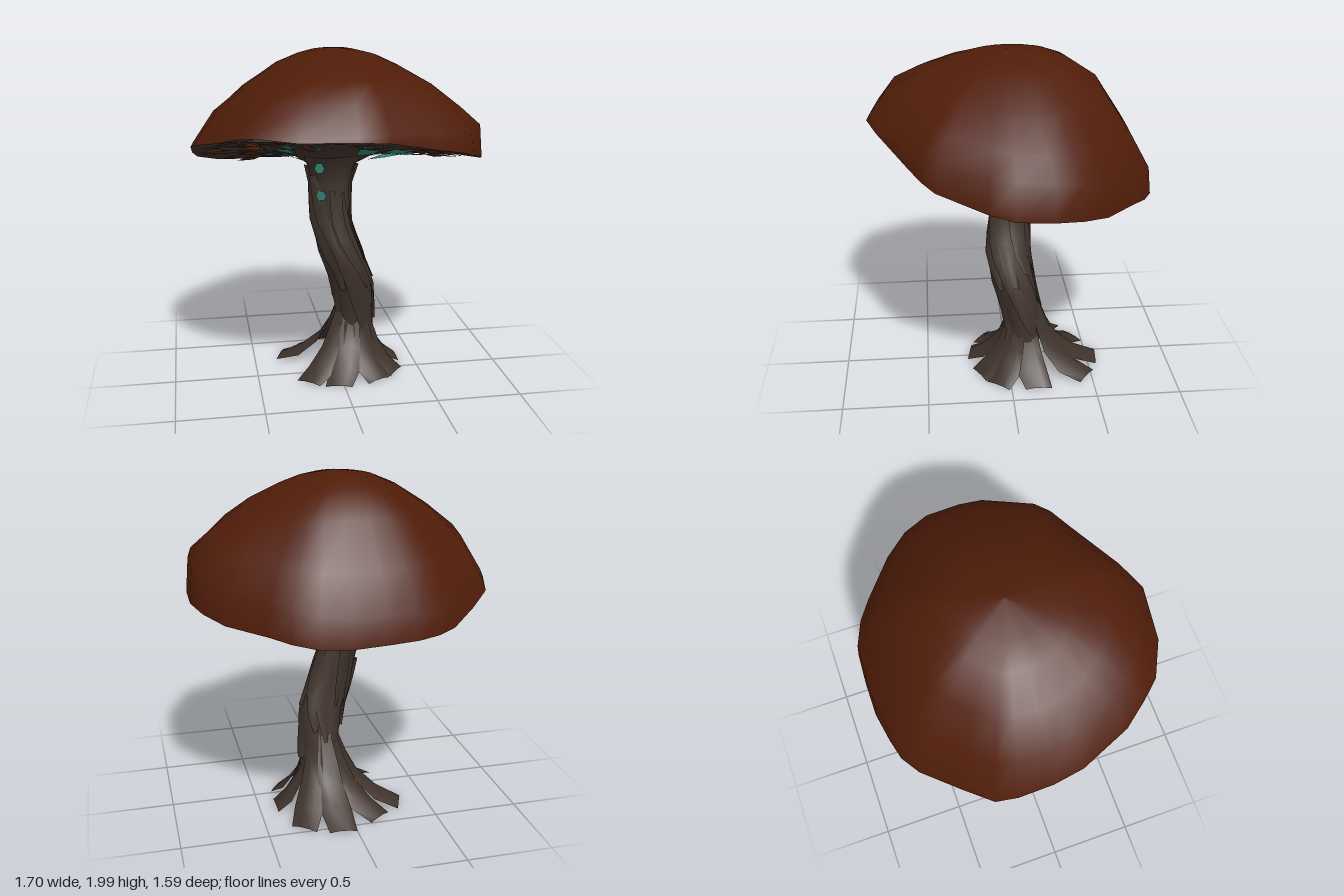
import * as THREE from 'three';
import { mergeGeometries } from 'three/addons/utils/BufferGeometryUtils.js';

const { lerp } = THREE.MathUtils;

// Rim of the cap as x, z, y
const RIM = [
  [.85, .02, 1.34], [.82, .15, 1.37], [.68, .42, 1.44], [.6, .49, 1.47], [.47, .56, 1.5], [.15, .73, 1.58],
  [-.02, .79, 1.6], [-.33, .75, 1.6], [-.53, .65, 1.61], [-.62, .55, 1.59], [-.72, .42, 1.55], [-.83, .14, 1.49],
  [-.85, -.03, 1.45], [-.84, -.22, 1.38], [-.81, -.34, 1.33], [-.68, -.48, 1.28], [-.5, -.67, 1.24],
  [-.39, -.74, 1.23], [-.27, -.77, 1.22], [-.1, -.8, 1.22], [.1, -.8, 1.21], [.27, -.79, 1.22],
  [.4, -.73, 1.24], [.5, -.65, 1.26], [.7, -.47, 1.28], [.8, -.33, 1.31], [.85, -.18, 1.33],
];

// Cap rings: scale, then height toward +x, +z, -x, -z
const DOME = [
  [1, 1.34, 1.6, 1.45, 1.21], [.98, 1.54, 1.63, 1.48, 1.36], [.84, 1.65, 1.785, 1.655, 1.57],
  [.64, 1.785, 1.87, 1.79, 1.82], [.42, 1.89, 1.935, 1.91, 1.94], [.27, 1.95, 1.965, 1.965, 1.985],
  [0, 2, 2, 2, 2],
];

// Stem sections: y, centre x, centre z, radius
const STEM = [
  [.24, .11, -.11, .13], [.4, .11, -.09, .12], [.6, .09, -.045, .13], [.8, .02, -.01, .13],
  [1, -.04, -.02, .117], [1.22, -.05, -.02, .122], [1.32, -.05, -.02, .145], [1.4, -.04, -.01, .2],
];

// Interpolate a table by its first column
function sample(table, v) {
  let i = 0;
  while (i < table.length - 2 && v > table[i + 1][0]) i++;
  const a = table[i], b = table[i + 1];
  const t = THREE.MathUtils.clamp((v - a[0]) / (b[0] - a[0]), 0, 1);
  return a.map((n, k) => lerp(n, b[k], t));
}

// Smooth surface through rows of points
function grid(rows, closed = false) {
  const n = rows[0].length, index = [];
  for (let i = 0; i < rows.length - 1; i++) {
    for (let j = 0; j < (closed ? n : n - 1); j++) {
      const k = (j + 1) % n;
      const a = i * n + j, b = i * n + k, c = a + n, d = b + n;
      index.push(a, c, b, b, c, d);
    }
  }
  const g = new THREE.BufferGeometry();
  g.setAttribute('position', new THREE.Float32BufferAttribute(rows.flat(2), 3));
  g.setIndex(index);
  g.computeVertexNormals();
  return g;
}

function domePoint([x, z, y], [s, ...h]) {
  const c = x * x / (x * x + z * z);
  const blend = (v) => c * (x > 0 ? v[0] : v[2]) + (1 - c) * (z > 0 ? v[1] : v[3]);
  const fix = (y - blend(DOME[0].slice(1))) * s ** 4;
  return [x * s, blend(h) + fix, z * s];
}

// Point below the cap: u runs round the rim, s from hub to rim; it dips toward the stem
const LIFT = [[.1, -.12], [.17, -.07], [.27, -.02], [.42, .01], [.62, .02], [.82, .015], [1, 0]];
function underPoint(u, s, drop = 0) {
  const f = (((u % 1) + 1) % 1) * RIM.length, i = Math.floor(f) % RIM.length;
  const [x, z, y] = RIM[i].map((n, k) => lerp(n, RIM[(i + 1) % RIM.length][k], f - Math.floor(f)));
  return [lerp(-.05, x, s), lerp(1.41, y, s) + sample(LIFT, s)[1] - drop, lerp(-.02, z, s)];
}

function stemPoint(y, a, k = 1) {
  const [, cx, cz, r] = sample(STEM, y);
  const w = r * k * (1 + .07 * Math.sin(3 * a + 5 * y));
  return [cx + w * Math.cos(a), y, cz + w * Math.sin(a)];
}

export function createModel() {
  const group = new THREE.Group();
  let seed = 7;
  const rand = (a = 0, b = 1) => {
    seed = (seed * 16807) % 2147483647;
    return a + (b - a) * seed / 2147483647;
  };
  const material = (name, color) => {
    const m = new THREE.MeshStandardMaterial({ color, side: THREE.DoubleSide });
    m.name = name;
    return m;
  };
  const rust = material('rust brown', 0x501d09);
  const bark = material('dark bark', 0x3f322b);
  const teal = material('teal glow', 0x2f8572);
  const add = (name, geometry, mat) => {
    const mesh = new THREE.Mesh(geometry, mat);
    mesh.name = name;
    group.add(mesh);
    return mesh;
  };

  // Tilted cap and its underside
  add('cap', grid(DOME.map((row) => RIM.map((p) => domePoint(p, row))), true), rust);
  const rings = LIFT.map(([s]) => s);
  add('capUnderside', grid(rings.map((s) => RIM.map((_, j) => underPoint(j / RIM.length, s))), true), bark);

  // Radial gill slivers under the cap, each tilted to one side
  const slivers = (count, s0, s1, len, wide, hang) => {
    const list = [];
    for (let i = 0; i < count; i++) {
      const u = (i + rand(-.3, .3)) / count, s = rand(s0, s1);
      const e = Math.min(s + len * rand(.6, 1.3), .97), m = (s + e) / 2;
      const d = wide / m / 6, skew = rand(-.01, .01), tilt = rand(-.014, .014);
      list.push(grid([
        [underPoint(u, s, hang), underPoint(u, s, hang)],
        [underPoint(u - d, m, hang + tilt), underPoint(u + d, m, hang - tilt)],
        [underPoint(u + skew, e, hang), underPoint(u + skew, e, hang)],
      ]));
    }
    return mergeGeometries(list);
  };
  add('gills', slivers(60, .2, .7, .32, .035, .008), bark);
  add('rustGills', slivers(28, .4, .78, .18, .026, .02), rust);
  add('glowingGills', slivers(26, .2, .5, .2, .028, .02), teal);

  // Bent, lumpy stem
  const sides = 14, angles = Array.from({ length: sides }, (_, j) => j / sides * Math.PI * 2);
  add('stem', grid(STEM.map(([y]) => angles.map((a) => stemPoint(y, a, .92))), true), bark);

  // Twisting bark strips with one lifted edge
  const strips = [];
  for (let k = 0; k < 16; k++) {
    const a0 = k * 2.4, y0 = rand(.26, .75), y1 = Math.min(y0 + rand(.45, .75), 1.38);
    const rows = [];
    for (let i = 0; i <= 6; i++) {
      const t = i / 6, y = lerp(y0, y1, t), a = a0 + t * .7;
      const w = .12 + .24 * Math.sin(Math.PI * t);
      rows.push([stemPoint(y, a - w, .9), stemPoint(y, a, 1.03), stemPoint(y, a + w, 1.05)]);
    }
    strips.push(grid(rows));
  }
  add('barkStrips', mergeGeometries(strips), bark);

  // Splayed roots: angle, reach
  const ROOTS = [
    [.05, .36], [.6, .39], [1.15, .39], [1.7, .4], [2.3, .4],
    [3.45, .4], [4.15, .36], [4.75, .4], [5.45, .4],
  ];
  // Root profile: share of reach, y, half width, edge drop
  const PROFILE = [
    [.2, .46, .035, 0], [.32, .31, .06, .01], [.46, .2, .075, .03], [.7, .1, .09, .035], [1, .022, .08, .008],
  ];
  const roots = ROOTS.map(([a, reach], k) => grid(PROFILE.map(([s, y, w, drop]) => {
    const cx = lerp(.11, .04, s), cz = lerp(-.09, -.16, s);
    const r = s * reach, bend = a + (k % 2 ? .06 : -.06) * s;
    return [-1, -.4, .4, 1].map((e) => [
      cx + r * Math.cos(bend) - e * w * Math.sin(bend),
      y - (Math.abs(e) === 1 ? drop : 0),
      cz + r * Math.sin(bend) + e * w * Math.cos(bend),
    ]);
  })));
  add('roots', mergeGeometries(roots), bark);

  // Glowing patches on the stem: angle, y
  for (const [a, y] of [[2.1, 1.33], [2.15, 1.16], [-1.03, 1.1], [-1.1, 1.22], [-1.9, 1.2]]) {
    const patch = add('glowPatch', new THREE.CircleGeometry(.032, 6), teal);
    patch.position.set(...stemPoint(y, a, 1.04));
    patch.lookAt(...stemPoint(y, a, 3));
  }
  return group;
}
